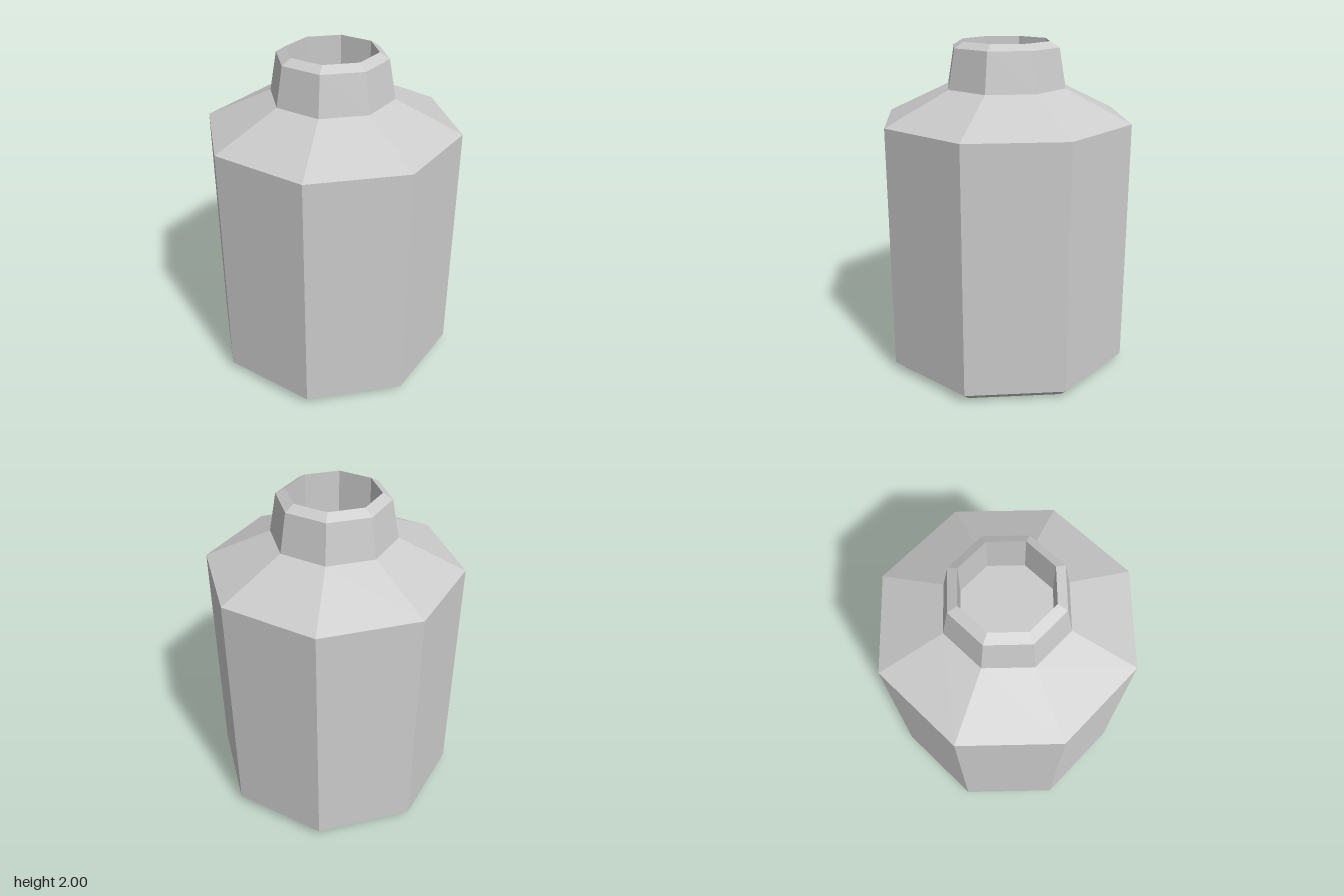
import * as THREE from 'three';

const SIDES = 8;

export function createModel() {
  const group = new THREE.Group();
  group.name = 'bottle';
  const material = new THREE.MeshStandardMaterial({ color: 0xcccccc, flatShading: true });

  // Each part is an eight-sided lathe of [radius, height] points, outside surface first
  const addLathe = (name, profile) => {
    const points = profile.map(([r, y]) => new THREE.Vector2(r, y));
    const mesh = new THREE.Mesh(new THREE.LatheGeometry(points, SIDES), material);
    mesh.name = name;
    group.add(mesh);
  };

  // Closed base with a chamfered foot
  addLathe('base', [[0, 0], [0.71, 0], [0.77, 0.05]]);
  // Straight walls
  addLathe('body', [[0.77, 0.05], [0.77, 1.54]]);
  // Sloping shoulder up to the neck
  addLathe('shoulder', [[0.77, 1.54], [0.372, 1.73]]);
  // Tapered neck with a bevelled lip
  addLathe('neck', [[0.372, 1.73], [0.33, 1.965], [0.272, 2]]);
  // Recessed opening with its floor
  addLathe('opening', [[0.272, 2], [0.272, 1.73], [0, 1.73]]);

  return group;
}
